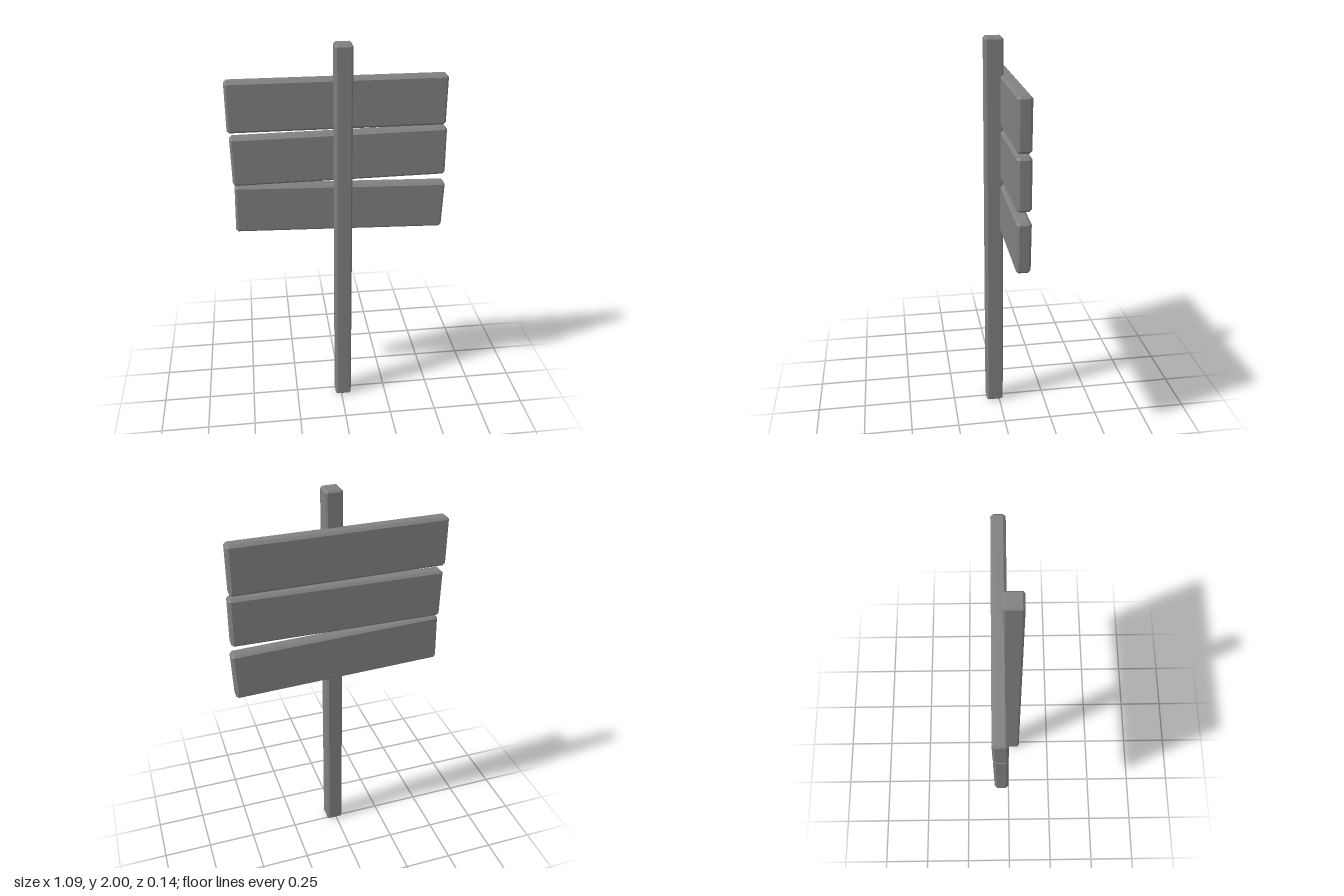
import * as THREE from 'three';
import { ConvexGeometry } from 'three/addons/geometries/ConvexGeometry.js';

// Box with every edge cut by a flat bevel
function beveledBox(w, h, d, bevel) {
  const points = [];
  for (const sx of [-1, 1]) for (const sy of [-1, 1]) for (const sz of [-1, 1]) {
    for (let axis = 0; axis < 3; axis++) {
      const inset = [bevel, bevel, bevel];
      inset[axis] = 0;
      points.push(new THREE.Vector3(
        sx * (w / 2 - inset[0]), sy * (h / 2 - inset[1]), sz * (d / 2 - inset[2])));
    }
  }
  return new ConvexGeometry(points);
}

export function createModel() {
  const group = new THREE.Group();
  group.name = 'signpost';
  const wood = new THREE.MeshStandardMaterial({ color: 0x808080 });
  wood.name = 'greyWood';

  // Upright post
  const post = new THREE.Mesh(beveledBox(0.086, 2, 0.09, 0.01), wood);
  post.name = 'post';
  post.position.set(0.01, 1, 0.025);
  group.add(post);

  // Three boards behind the post, each slightly tilted
  const boardGeometry = beveledBox(1.068, 0.25, 0.068, 0.012);
  const boards = [
    { name: 'topBoard', x: -0.01, y: 1.701, tilt: 0 },
    { name: 'middleBoard', x: 0, y: 1.432, tilt: 0.012 },
    { name: 'bottomBoard', x: 0.004, y: 1.157, tilt: -0.03 },
  ];
  for (const { name, x, y, tilt } of boards) {
    const board = new THREE.Mesh(boardGeometry, wood);
    board.name = name;
    board.position.set(x, y, -0.037);
    board.rotation.z = tilt;
    group.add(board);
  }
  return group;
}
